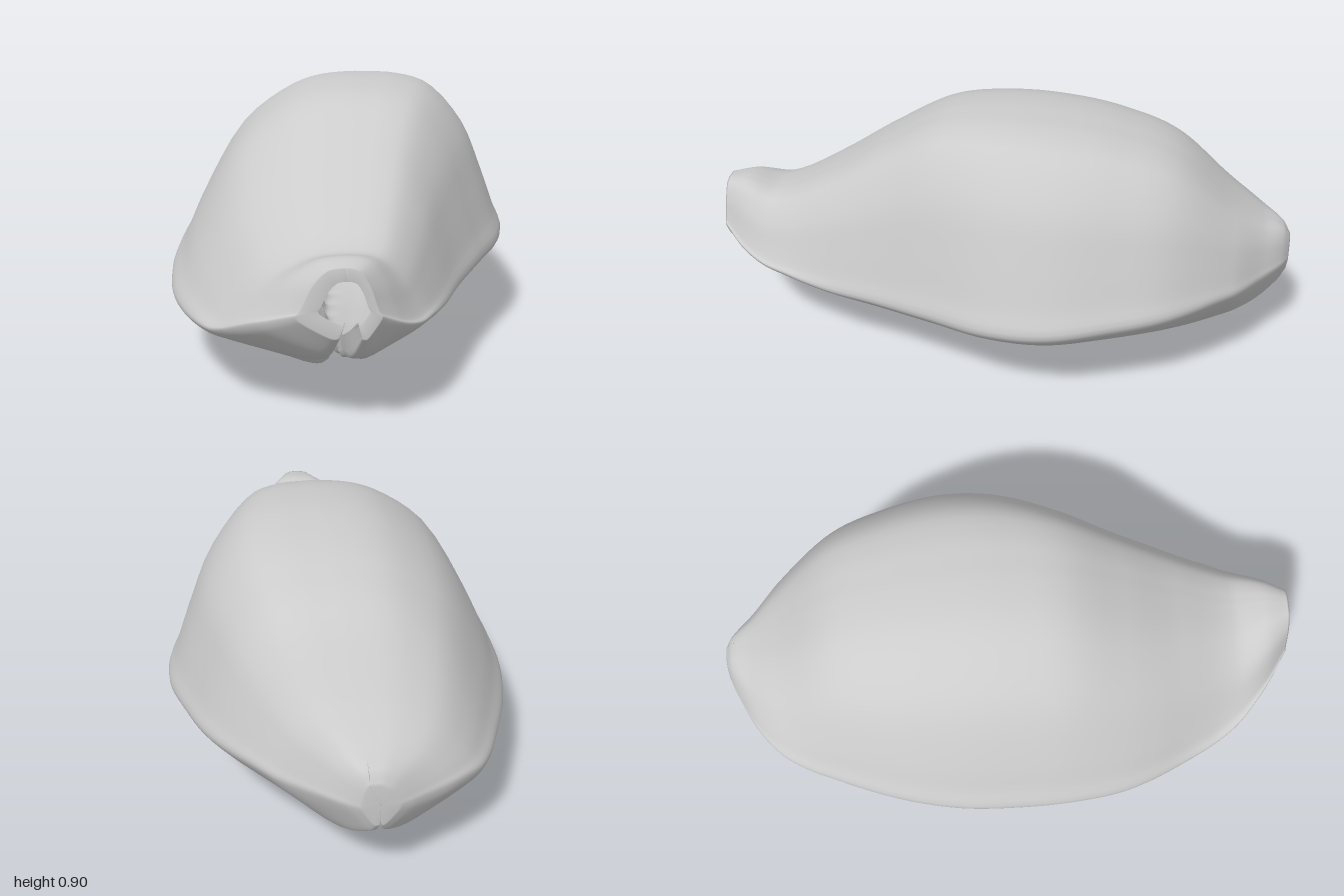
import * as THREE from 'three';

// Shell measurements along its length:
// z, left edge x, right edge x, crown y, edge y, base y, slot centre x, slot width, hollow scale
const stations = [
  [-1.0, -0.07, 0.04, 0.455, 0.38, 0.31, -0.015, 0.0, 0.03],
  [-0.975, -0.13, 0.085, 0.495, 0.38, 0.27, -0.015, 0.008, 0.3],
  [-0.9, -0.27, 0.175, 0.535, 0.375, 0.215, -0.02, 0.09, 0.65],
  [-0.8, -0.375, 0.3, 0.61, 0.365, 0.17, -0.035, 0.145, 0.8],
  [-0.6, -0.47, 0.46, 0.79, 0.355, 0.1, -0.065, 0.14, 0.85],
  [-0.4, -0.54, 0.54, 0.867, 0.34, 0.05, -0.09, 0.105, 0.87],
  [-0.2, -0.58, 0.585, 0.902, 0.32, 0.03, -0.1, 0.08, 0.87],
  [0.0, -0.59, 0.565, 0.907, 0.31, 0.035, -0.1, 0.065, 0.87],
  [0.2, -0.583, 0.485, 0.875, 0.3, 0.055, -0.09, 0.06, 0.86],
  [0.4, -0.55, 0.4, 0.765, 0.285, 0.085, -0.07, 0.055, 0.83],
  [0.6, -0.47, 0.335, 0.637, 0.28, 0.135, -0.045, 0.05, 0.77],
  [0.8, -0.36, 0.265, 0.54, 0.31, 0.2, -0.01, 0.045, 0.66],
  [0.92, -0.235, 0.195, 0.56, 0.36, 0.255, 0.015, 0.045, 0.6],
  [1.0, -0.115, 0.125, 0.55, 0.41, 0.34, 0.04, 0.055, 0.62],
];

// Section shapes as fractions: base runs lip to edge, dome runs edge to crown
const baseLeft = [[0, 0.28], [0.07, 0.04], [0.17, 0], [0.32, 0.09], [0.82, 0.6], [0.96, 0.8]];
const baseRight = [[0, 0.2], [0.04, 0.03], [0.14, 0.0], [0.27, 0.01], [0.62, 0.4], [0.94, 0.84]];
const domeLeft = [[0.93, 0.14], [0.83, 0.35], [0.6, 0.72], [0.34, 0.91], [0.17, 0.975]];
const domeRight = [[0.95, 0.14], [0.86, 0.4], [0.74, 0.69], [0.53, 0.93], [0.34, 0.99], [0.17, 1]];

// Smooth interpolation of the measurements at any z
function measure(z) {
  let k = 0;
  while (k < stations.length - 2 && z > stations[k + 1][0]) k++;
  const a = stations[k], b = stations[k + 1];
  const before = stations[Math.max(k - 1, 0)], after = stations[Math.min(k + 2, stations.length - 1)];
  const h = b[0] - a[0], t = (z - a[0]) / h, t2 = t * t, t3 = t2 * t;
  return a.map((v, c) => {
    const m0 = (b[c] - before[c]) / (b[0] - before[0]) * h;
    const m1 = (after[c] - v) / (after[0] - a[0]) * h;
    return (2 * t3 - 3 * t2 + 1) * v + (t3 - 2 * t2 + t) * m0 + (3 * t2 - 2 * t3) * b[c] + (t3 - t2) * m1;
  });
}

// One cross-section: outer skin from left lip over the crown to right lip, then the hollow back again
function section(z, samples) {
  const [, xl, xr, top, edge, base, slot, gap, hollow] = measure(z);
  const fade = THREE.MathUtils.smoothstep(0.92 - Math.abs(z), 0, 0.2);
  // The dome pinches into a ridge over the front canal
  const pinch = 1 + 0.45 * THREE.MathUtils.smoothstep(z, 0.5, 0.9);
  // Teeth of slightly uneven spacing along the lips
  const tooth = fade * Math.sin(Math.PI * (z + 0.03 * Math.sin(z * 9)) / 0.17) ** 4;
  const half = side => {
    const xe = side < 0 ? xl : xr;
    const ye = edge + side * 0.025 * fade;
    const yb = base + (side > 0 ? 0.005 * fade : 0);
    const lip = slot + side * gap / 2;
    const bump = tooth * (side < 0 ? 0.03 : 0.012);
    const reach = side < 0 ? 0.4 : 0.13;
    const lower = (side < 0 ? baseLeft : baseRight).map(([s, t]) => {
      const near = Math.max(0, 1 - s / reach);
      return new THREE.Vector3(
        lip + (xe - lip) * s - side * bump * 0.5 * near,
        yb + (ye - yb) * t - bump * near, z);
    });
    const upper = (side < 0 ? domeLeft : domeRight).map(([u, v]) =>
      new THREE.Vector3(xe * u, ye + (top - ye) * v ** pinch, z));
    return [...lower, new THREE.Vector3(xe, ye, z), ...upper];
  };
  const crown = new THREE.Vector3(0.02, top, z);
  const curve = new THREE.CatmullRomCurve3([...half(-1), crown, ...half(1).reverse()]);
  const outer = curve.getPoints(samples - 1);
  const cy = base + (top - base) * 0.52;
  const inner = outer.map(p => new THREE.Vector3(
    slot + (p.x - slot) * hollow, cy + (p.y - cy) * hollow, z));
  return [...outer, ...inner.reverse()];
}

// Loft the sections into a thick wall with a slot underneath
function shellGeometry(rings, samples) {
  const positions = [], index = [], n = samples * 2;
  for (let j = 0; j <= rings; j++) {
    // Rings gather towards both ends
    const z = Math.sin((j / rings - 0.5) * Math.PI) * 0.6 + (j / rings - 0.5) * 0.8;
    for (const p of section(z, samples)) positions.push(p.x, p.y, p.z);
  }
  for (let j = 0; j < rings; j++) {
    for (let i = 0; i < n; i++) {
      const a = j * n + i, b = j * n + (i + 1) % n;
      index.push(a, a + n, b, b, a + n, b + n);
    }
  }
  // Rims: the back closes almost to a point, the front leaves the canal open
  const last = rings * n;
  for (let i = 0; i < samples - 1; i++) {
    const o = i, o2 = i + 1, q = n - 1 - i, q2 = n - 2 - i;
    index.push(o, o2, q, o2, q2, q);
    index.push(last + o, last + q, last + o2, last + o2, last + q, last + q2);
  }
  const geometry = new THREE.BufferGeometry();
  geometry.setAttribute('position', new THREE.Float32BufferAttribute(positions, 3));
  geometry.setIndex(index);
  geometry.computeVertexNormals();
  geometry.computeBoundingBox();
  geometry.translate(0, -geometry.boundingBox.min.y, 0);
  return geometry;
}

export function createModel() {
  const group = new THREE.Group();
  group.name = 'seashell';
  const material = new THREE.MeshStandardMaterial({ color: 0xcccccc, side: THREE.DoubleSide });
  const shell = new THREE.Mesh(shellGeometry(160, 90), material);
  shell.name = 'shell';
  group.add(shell);
  return group;
}
